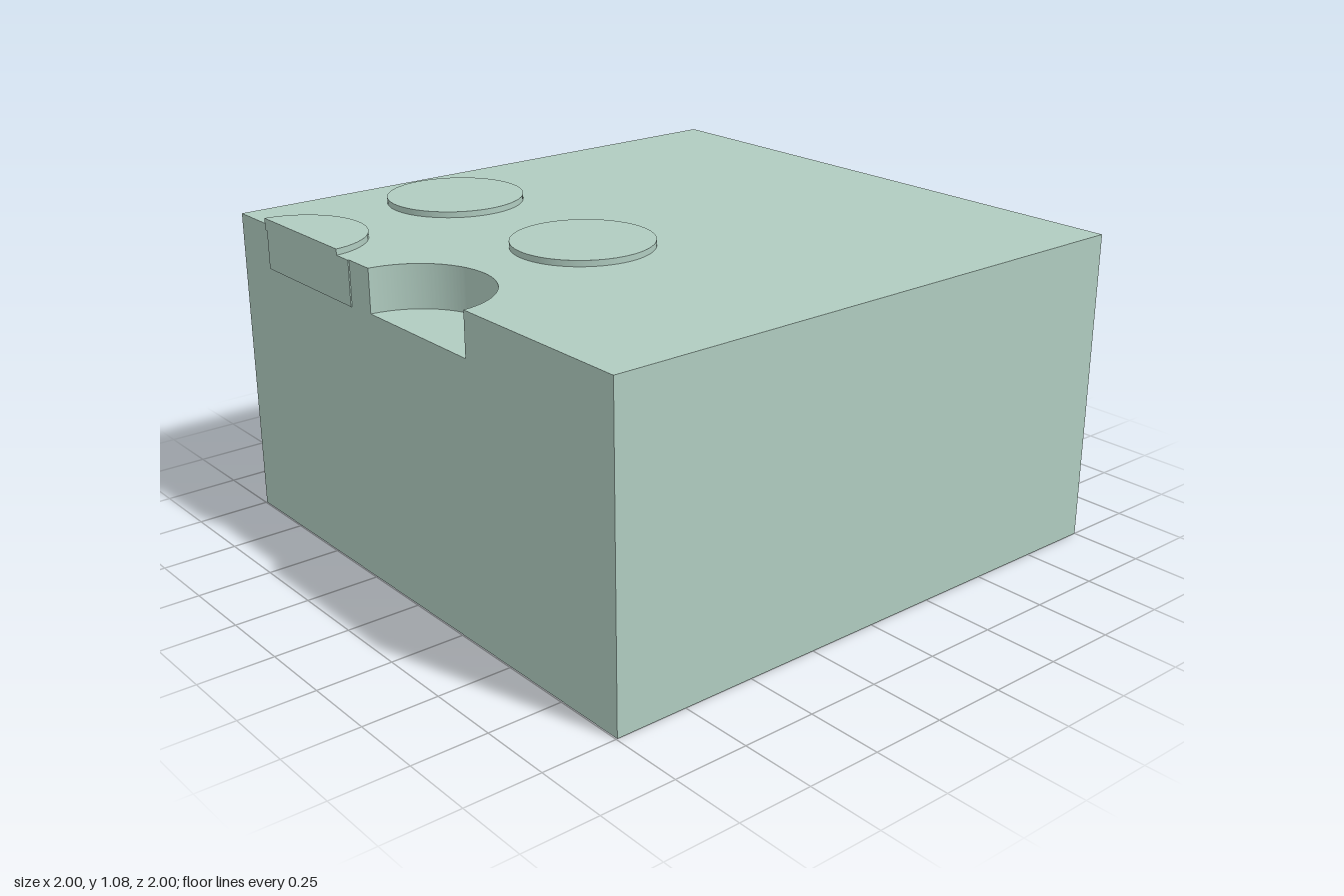
import * as THREE from 'three';
import { toCreasedNormals } from 'three/addons/utils/BufferGeometryUtils.js';

const material = new THREE.MeshStandardMaterial({ color: 0xb0ccc0 });
const SIDE = -0.996; // x of the block's notched side
const TOP = 1.06, FLOOR = 0.915, HOLE_TOP = 0.5;

// Extrude a plan outline (x, -z) upwards from y0 to y1
function slab(name, shape, y0, y1) {
  const geometry = new THREE.ExtrudeGeometry(shape, { depth: y1 - y0, bevelEnabled: false, curveSegments: 64 });
  geometry.rotateX(-Math.PI / 2).translate(0, y0, 0);
  const mesh = new THREE.Mesh(toCreasedNormals(geometry, 0.5), material);
  mesh.name = name;
  return mesh;
}

// Square plan of the block, optionally with a round bite out of its side
function blockPlan(bite) {
  const s = new THREE.Shape();
  s.moveTo(SIDE, -1);
  s.lineTo(1, -1);
  s.lineTo(1, 1);
  s.lineTo(SIDE, 1);
  if (bite) {
    const a = Math.acos((SIDE - bite.x) / bite.r);
    s.absarc(bite.x, -bite.z, bite.r, a, -a, true);
  }
  s.closePath();
  return s;
}

// Disc plan cut off along x = cut
function cutDiscPlan(x, z, r, cut) {
  const a = Math.acos((cut - x) / r);
  const s = new THREE.Shape();
  s.absarc(x, -z, r, -a, a, false);
  s.closePath();
  return s;
}

export function createModel() {
  const model = new THREE.Group();
  model.name = 'block';

  // Block in three layers: round hole below, solid core, side notch above
  const lower = blockPlan();
  lower.holes.push(new THREE.Path().absarc(-0.685, 0.49, 0.235, 0, Math.PI * 2, true));
  model.add(slab('lowerBlock', lower, 0, HOLE_TOP));
  model.add(slab('middleBlock', blockPlan(), HOLE_TOP, FLOOR));
  model.add(slab('upperBlock', blockPlan({ x: -1.012, z: 0.068, r: 0.257 }), FLOOR, TOP));

  // Raised round discs on the top
  for (const z of [-0.69, 0.03]) {
    const disc = new THREE.Mesh(new THREE.CylinderGeometry(0.232, 0.232, 0.04, 64), material);
    disc.position.set(-0.35, TOP, z);
    disc.name = 'topDisc';
    model.add(disc);
  }

  // Disc cut off by the side, with the thin plug face below it
  model.add(slab('cutDisc', cutDiscPlan(-1.017, -0.6, 0.232, -1), TOP - 0.02, TOP + 0.02));
  const plug = new THREE.Mesh(new THREE.BoxGeometry(0.01, TOP - 0.91, 0.52), material);
  plug.position.set(-0.995, (TOP + 0.91) / 2, -0.56);
  plug.name = 'sidePlug';
  model.add(plug);

  return model;
}
